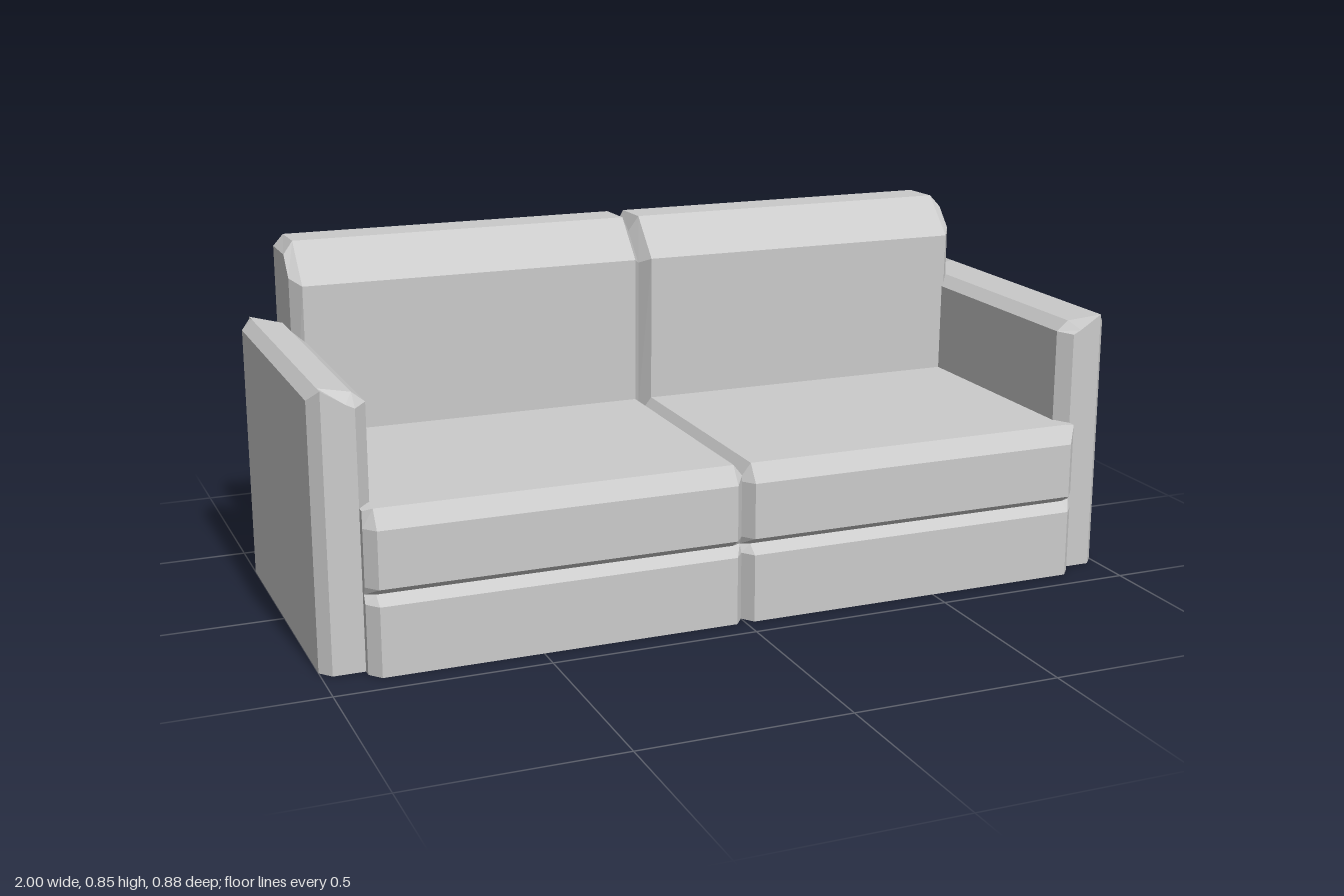
import * as THREE from 'three';

const material = new THREE.MeshStandardMaterial({
  color: 0xcccccc, flatShading: true, side: THREE.DoubleSide,
});

// Skins a row of cross-sections ([u, v] points) and caps both ends down to the floor.
// place(u, v, station) turns a section point into a position.
function loft(name, stations, place, floor = false) {
  const pos = [];
  const tri = (a, b, c) => pos.push(...a.toArray(), ...b.toArray(), ...c.toArray());
  const rings = stations.map(([s, pts]) => pts.map(([u, v]) => place(u, v, s)));
  const n = rings[0].length;
  for (let i = 0; i < rings.length - 1; i++) {
    for (let j = 0; j < (floor ? n : n - 1); j++) {
      const k = (j + 1) % n;
      const a = rings[i][j], b = rings[i][k], c = rings[i + 1][k], d = rings[i + 1][j];
      tri(a, d, c);
      tri(a, c, b);
    }
  }
  const last = stations.length - 1;
  [[0, 1], [last, last - 1]].forEach(([end, inner]) => {
    const [s, pts] = stations[end];
    const outline = pts.map(([u, v]) => new THREE.Vector2(u, v));
    if (pts[n - 1][1] > 0) outline.push(new THREE.Vector2(pts[n - 1][0], 0));
    if (pts[0][1] > 0) outline.push(new THREE.Vector2(pts[0][0], 0));
    const outward = place(0, 0, s).sub(place(0, 0, stations[inner][0]));
    for (const face of THREE.ShapeUtils.triangulateShape(outline, [])) {
      const [a, b, c] = face.map((i) => place(outline[i].x, outline[i].y, s));
      const normal = b.clone().sub(a).cross(c.clone().sub(a));
      if (normal.dot(outward) > 0) tri(a, b, c);
      else tri(a, c, b);
    }
  });
  const geometry = new THREE.BufferGeometry();
  geometry.setAttribute('position', new THREE.Float32BufferAttribute(pos, 3));
  geometry.computeVertexNormals();
  const mesh = new THREE.Mesh(geometry, material);
  mesh.name = name;
  return mesh;
}

// Two cushions side by side: bevelled outer ends and a V groove in the middle
const acrossWidth = (end, full, middle) => [
  [-0.9, end], [-0.875, full], [-0.022, full], [0, middle],
  [0.022, full], [0.875, full], [0.9, end],
];

export function createModel() {
  const group = new THREE.Group();
  group.name = 'sofa';
  const alongX = (u, v, s) => new THREE.Vector3(s, v, u);

  // Seat cushions and front panel, with a horizontal groove between them
  const seat = (front, notch, top) => [
    [front, 0], [front, 0.165], [notch, 0.185], [front, 0.205],
    [front, 0.34], [0.41, top], [-0.22, top],
  ];
  group.add(loft('seat', acrossWidth(
    seat(0.41, 0.4, 0.38), seat(0.44, 0.41, 0.383), seat(0.41, 0.4, 0.355),
  ), alongX));

  // Backrest, hollow underneath, with a flat rear panel
  const backEnd = [[-0.25, 0.35], [-0.25, 0.765], [-0.295, 0.815], [-0.415, 0.815], [-0.415, 0.8], [-0.415, 0]];
  const backFull = [[-0.22, 0.35], [-0.213, 0.75], [-0.305, 0.845], [-0.415, 0.843], [-0.44, 0.815], [-0.44, 0]];
  const backMiddle = [[-0.255, 0.35], [-0.25, 0.735], [-0.32, 0.805], [-0.415, 0.805], [-0.44, 0.785], [-0.44, 0]];
  group.add(loft('backrest', acrossWidth(backEnd, backFull, backMiddle), alongX));

  // Armrests: tops slope down inward, front and rear edges bevelled
  const armFull = [[0.87, 0], [0.87, 0.61], [0.9, 0.635], [0.975, 0.65], [1, 0.625], [1, 0]];
  const armEnd = [[0.9, 0], [0.9, 0.605], [0.92, 0.615], [0.975, 0.65], [0.975, 0.645], [0.975, 0]];
  const armStations = [[-0.38, armEnd], [-0.348, armFull], [0.36, armFull], [0.39, armEnd]];
  for (const side of [1, -1]) {
    const stations = side > 0 ? armStations : [...armStations].reverse();
    group.add(loft(side > 0 ? 'leftArm' : 'rightArm', stations,
      (u, v, s) => new THREE.Vector3(side * u, v, s), true));
  }
  return group;
}
